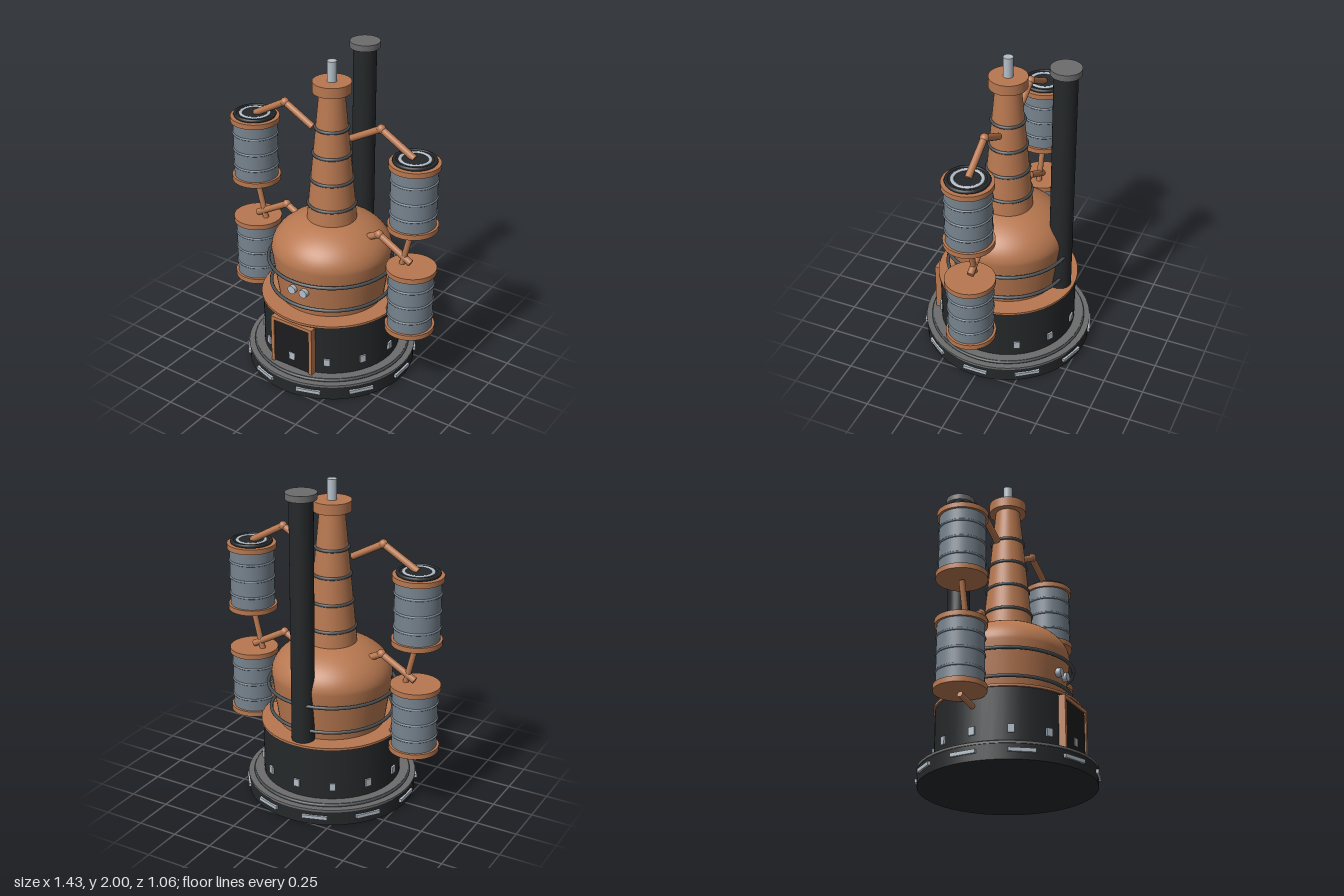
import * as THREE from 'three';

const mat = (color) => new THREE.MeshStandardMaterial({ color });
const copper = mat(0xb87850), dark = mat(0x25282a), grey = mat(0x6c6c6c);
const steel = mat(0x77838e), light = mat(0xb4bec8), black = mat(0x1c1c1f), band = mat(0x4a4f52);

function add(parent, name, geometry, material, x = 0, y = 0, z = 0) {
  const mesh = new THREE.Mesh(geometry, material);
  mesh.name = name;
  mesh.position.set(x, y, z);
  parent.add(mesh);
  return mesh;
}

// Upright round part between heights y0 and y1
function round(parent, name, r0, r1, y0, y1, material, x = 0, z = 0) {
  return add(parent, name, new THREE.CylinderGeometry(r1, r0, y1 - y0, 48), material, x, (y0 + y1) / 2, z);
}

function hoop(parent, name, r, tube, y, material, x = 0) {
  const mesh = add(parent, name, new THREE.TorusGeometry(r, tube, 8, 48), material, x, y, 0);
  mesh.rotation.x = Math.PI / 2;
  return mesh;
}

// Straight pipe in the z = 0 plane
function pipe(parent, name, [x0, y0], [x1, y1], r = 0.021) {
  const length = Math.hypot(x1 - x0, y1 - y0);
  const mesh = add(parent, name, new THREE.CylinderGeometry(r, r, length, 16), copper, (x0 + x1) / 2, (y0 + y1) / 2, 0);
  mesh.rotation.z = -Math.atan2(x1 - x0, y1 - y0);
}

// Boxes spaced around the main axis, facing outward
function boxRing(parent, name, count, start, radius, y, size) {
  for (let i = 0; i < count; i++) {
    const a = start + (i / count) * Math.PI * 2;
    const box = add(parent, name, new THREE.BoxGeometry(...size), light, Math.sin(a) * radius, y, Math.cos(a) * radius);
    box.rotation.y = a;
  }
}

function barrel(parent, name, x, y) {
  const g = new THREE.Group();
  g.name = name;
  g.position.set(x, y, 0);
  parent.add(g);
  round(g, 'barrelBody', 0.136, 0.136, -0.2, 0.2, steel);
  round(g, 'bottomFlange', 0.151, 0.151, -0.213, -0.181, copper);
  round(g, 'topFlange', 0.151, 0.151, 0.181, 0.213, copper);
  for (const ry of [-0.105, 0, 0.105]) hoop(g, 'barrelRib', 0.136, 0.007, ry, steel);
  return g;
}

export function createModel() {
  const model = new THREE.Group();
  model.name = 'still';

  // Base and firebox
  round(model, 'base', 0.52, 0.52, 0, 0.098, dark);
  round(model, 'baseTop', 0.525, 0.525, 0.09, 0.104, grey);
  round(model, 'baseStep', 0.48, 0.48, 0.1, 0.125, grey);
  hoop(model, 'baseStepRim', 0.48, 0.01, 0.112, band);
  boxRing(model, 'baseLight', 10, Math.PI / 10, 0.518, 0.052, [0.155, 0.022, 0.025]);
  round(model, 'firebox', 0.426, 0.426, 0.12, 0.46, dark);
  round(model, 'fireboxLip', 0.437, 0.437, 0.457, 0.472, copper);
  boxRing(model, 'fireboxVent', 12, 0, 0.425, 0.208, [0.038, 0.048, 0.022]);

  // Door with copper frame
  add(model, 'door', new THREE.BoxGeometry(0.26, 0.3, 0.05), black, 0, 0.28, 0.407);
  for (const s of [-1, 1]) add(model, 'doorPost', new THREE.BoxGeometry(0.022, 0.32, 0.06), copper, s * 0.138, 0.286, 0.41);
  add(model, 'doorLintel', new THREE.BoxGeometry(0.298, 0.022, 0.06), copper, 0, 0.437, 0.41);

  // Pot: tapered wall with an elliptical shoulder
  const profile = [[0.325, 0.465], [0.345, 0.6], [0.362, 0.72]];
  for (let i = 0; i <= 16; i++) {
    const a = (i / 16) * Math.PI / 2;
    profile.push([0.37 * Math.cos(a), 0.78 + 0.228 * Math.sin(a)]);
  }
  add(model, 'pot', new THREE.LatheGeometry(profile.map(([r, y]) => new THREE.Vector2(Math.max(r, 0), y)), 64), copper);
  hoop(model, 'potHoop', 0.39, 0.011, 0.712, band);
  hoop(model, 'potHoop', 0.375, 0.011, 0.545, band);
  for (const x of [-0.041, 0.041]) {
    const gauge = add(model, 'gauge', new THREE.CylinderGeometry(0.027, 0.027, 0.04, 24), light, x, 0.635, 0.354);
    gauge.rotation.x = Math.PI / 2;
  }

  // Neck, collar and spout
  round(model, 'neck', 0.152, 0.075, 0.98, 1.81, copper);
  for (const [y, r] of [[1.085, 0.143], [1.25, 0.127], [1.415, 0.112], [1.58, 0.098]]) hoop(model, 'neckHoop', r, 0.01, y, band);
  round(model, 'collar', 0.115, 0.115, 1.802, 1.866, copper);
  round(model, 'spout', 0.029, 0.029, 1.86, 1.99, light);

  // Chimney behind the pot
  round(model, 'chimney', 0.07, 0.07, 0.465, 1.97, dark, 0, -0.347);
  round(model, 'chimneyCap', 0.091, 0.091, 1.962, 2, grey, 0, -0.347);

  // Condenser barrels and pipework on both sides
  for (const s of [-1, 1]) {
    const side = new THREE.Group();
    side.name = s > 0 ? 'leftCondenser' : 'rightCondenser';
    model.add(side);
    const upper = barrel(side, 'upperBarrel', s * 0.565, 1.296);
    round(upper, 'lid', 0.12, 0.12, 0.21, 0.23, dark);
    hoop(upper, 'lidRim', 0.119, 0.012, 0.224, dark);
    const ring = hoop(upper, 'lidRing', 0.086, 0.011, 0.23, light);
    ring.scale.z = 0.6;
    barrel(side, 'lowerBarrel', s * 0.565, 0.608);

    for (const [outer, elbow, inner] of [
      [[0.56, 1.525], [0.337, 1.652], [0.137, 1.541]],
      [[0.56, 0.84], [0.337, 0.965], [0.137, 0.855]],
    ]) {
      pipe(side, 'armPipe', [s * outer[0], outer[1]], [s * elbow[0], elbow[1]]);
      pipe(side, 'armPipe', [s * elbow[0], elbow[1]], [s * inner[0], inner[1]]);
      add(side, 'elbow', new THREE.SphereGeometry(0.027, 16, 12), copper, s * elbow[0], elbow[1], 0);
    }
    pipe(side, 'downPipe', [s * 0.564, 1.078], [s * 0.405, 0.42], 0.018);
    pipe(side, 'drainPipe', [s * 0.565, 0.381], [s * 0.4, 0.352], 0.017);
  }
  return model;
}
